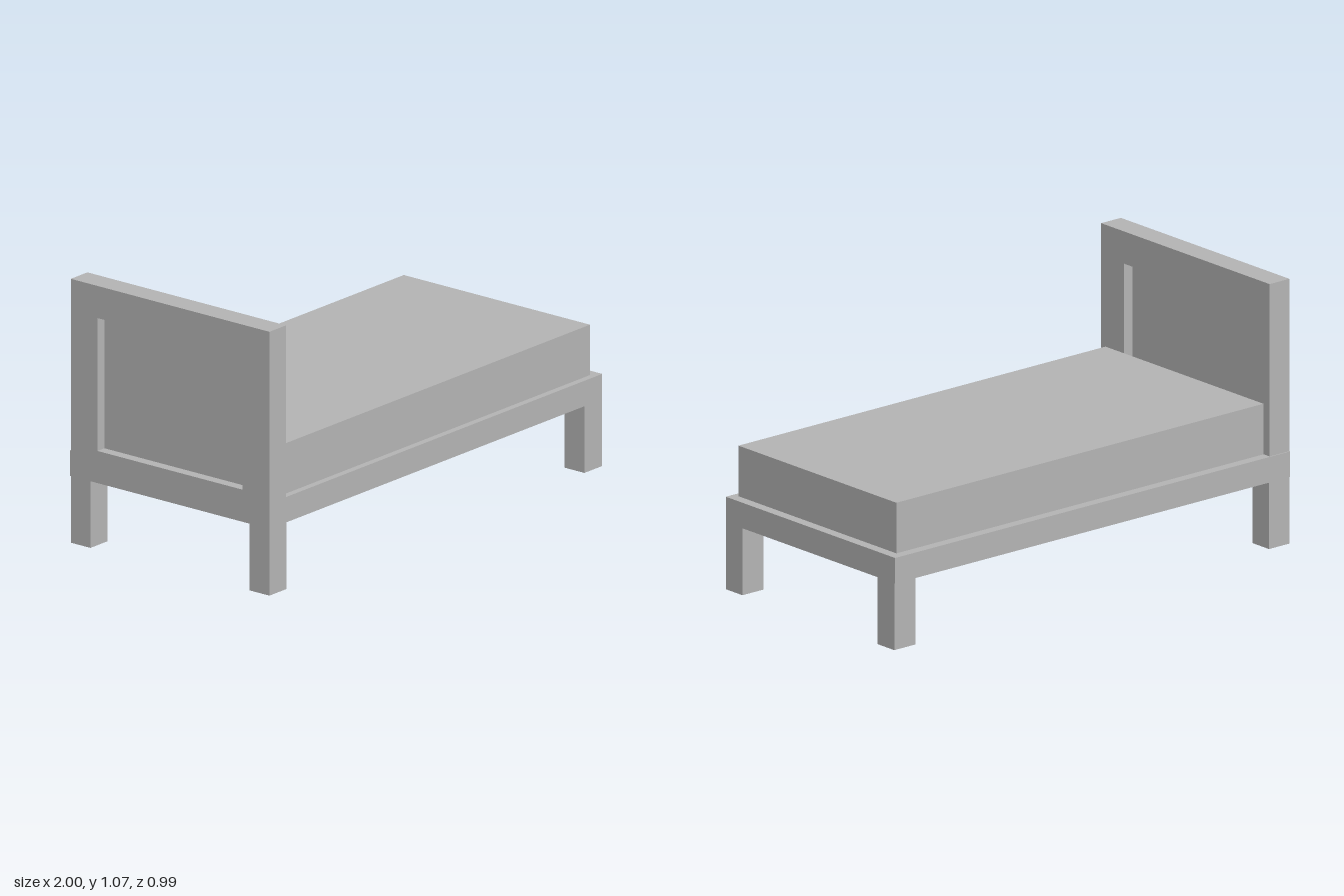
import * as THREE from 'three';

const grey = new THREE.MeshStandardMaterial({ color: 0xb3b3b3 });
grey.name = 'plain grey';

// Box given by its lower and upper corners
function box(name, [x0, y0, z0], [x1, y1, z1]) {
  const mesh = new THREE.Mesh(new THREE.BoxGeometry(x1 - x0, y1 - y0, z1 - z0), grey);
  mesh.position.set((x0 + x1) / 2, (y0 + y1) / 2, (z0 + z1) / 2);
  mesh.name = name;
  return mesh;
}

// Slab cut from a rectangle [u0, v0, u1, v1] with rectangular holes
function frameGeometry(outer, holes, depth) {
  const corners = ([u0, v0, u1, v1]) =>
    [[u0, v0], [u1, v0], [u1, v1], [u0, v1]].map(([u, v]) => new THREE.Vector2(u, v));
  const shape = new THREE.Shape(corners(outer));
  for (const hole of holes) shape.holes.push(new THREE.Path(corners(hole)));
  return new THREE.ExtrudeGeometry(shape, { depth, bevelEnabled: false });
}

export function createModel() {
  const bed = new THREE.Group();
  bed.name = 'bed';
  const legTop = 0.27, railTop = 0.373;

  // Base frame with a long centre beam between two openings (shape v = z)
  const base = frameGeometry([-1, -0.495, 1, 0.498],
    [[-0.865, -0.39, 0.87, -0.026], [-0.865, 0.074, 0.87, 0.397]], railTop - legTop);
  base.rotateX(Math.PI / 2);
  const baseFrame = new THREE.Mesh(base, grey);
  baseFrame.position.y = railTop;
  baseFrame.name = 'baseFrame';
  bed.add(baseFrame);

  // Four square legs
  for (const [end, x0, x1] of [['head', -1, -0.897], ['foot', 0.893, 1]]) {
    for (const [side, z0, z1] of [['Front', 0.4, 0.498], ['Back', -0.49, -0.392]]) {
      bed.add(box(`${end}${side}Leg`, [x0, 0, z0], [x1, legTop, z1]));
    }
  }

  // Headboard surround (shape u = -z, v = y), extruded along +x
  const surround = frameGeometry([-0.498, railTop, 0.49, 1.068],
    [[-0.365, 0.4, 0.357, 0.938]], 0.1);
  surround.rotateY(Math.PI / 2);
  const headboard = new THREE.Mesh(surround, grey);
  headboard.position.x = -1;
  headboard.name = 'headboardSurround';
  bed.add(headboard);

  // Thin panel set into the middle of the surround
  bed.add(box('headboardPanel', [-0.958, 0.4, -0.357], [-0.944, 0.938, 0.365]));

  bed.add(box('mattress', [-0.899, railTop, -0.455], [0.959, 0.577, 0.471]));
  return bed;
}
